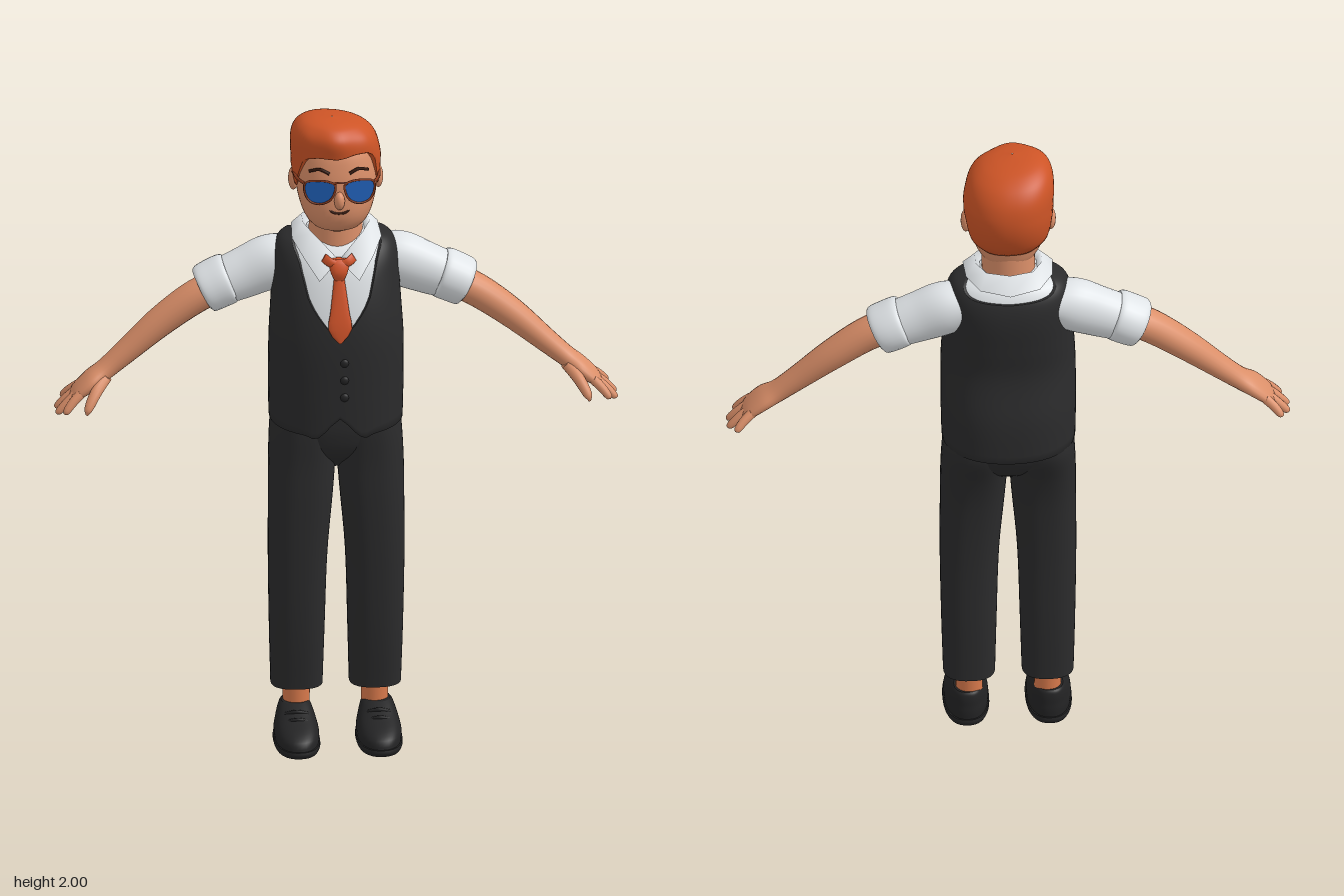
import * as THREE from 'three';

const mat = (name, color, side = THREE.FrontSide) => {
  const m = new THREE.MeshStandardMaterial({ color, side });
  m.name = name;
  return m;
};
const M = {
  skin: mat('skin', 0xdb8f69), hair: mat('copper hair', 0xcd5426), tie: mat('orange tie', 0xd2542a),
  shirt: mat('white shirt', 0xdfe3e6, THREE.DoubleSide), cloth: mat('charcoal cloth', 0x2b2b2c),
  black: mat('black leather', 0x232324), lens: mat('blue lens', 0x2060b8, THREE.DoubleSide),
  frame: mat('brown frame', 0x8c3c20), dark: mat('dark brown', 0x35190f), sock: mat('ankle', 0xd97a4c),
};

// Smooth interpolation of table rows; column 0 is the key
function sample(tab, k) {
  const last = tab.length - 1;
  let i = 0;
  while (i < last - 1 && k > tab[i + 1][0]) i++;
  const h = tab[i + 1][0] - tab[i][0];
  const u = Math.min(1, Math.max(0, (k - tab[i][0]) / h));
  const slope = (j, c) => {
    const p = tab[Math.max(j - 1, 0)], q = tab[Math.min(j + 1, last)];
    return (q[c] - p[c]) / (q[0] - p[0]);
  };
  const u2 = u * u, u3 = u2 * u;
  return tab[i].map((v, c) => (2 * u3 - 3 * u2 + 1) * v + (u3 - 2 * u2 + u) * h * slope(i, c)
    + (3 * u2 - 2 * u3) * tab[i + 1][c] + (u3 - u2) * h * slope(i + 1, c));
}

// Skin over rows of points, optionally joined round and capped
function skin(rows, closed = true, cap = true) {
  if (cap) {
    const ends = [rows[0], rows[rows.length - 1]].map((r) => {
      const c = r.reduce((s, p) => s.add(p), new THREE.Vector3()).divideScalar(r.length);
      return [r.map(() => c), r];
    });
    rows = [ends[0][0], ends[0][1], ...rows, ends[1][1], ends[1][0]];
  }
  const n = rows[0].length, idx = [];
  for (let j = 0; j < rows.length - 1; j++) {
    for (let i = 0; i < (closed ? n : n - 1); i++) {
      const a = j * n + i, b = j * n + (i + 1) % n;
      idx.push(a, b, b + n, a, b + n, a + n);
    }
  }
  const g = new THREE.BufferGeometry().setFromPoints(rows.flat());
  g.setIndex(idx);
  g.computeVertexNormals();
  return g;
}

// Upright body from rings [y, half width, front z, back z, centre x]
function body(tab, o = {}) {
  const { n = 48, m = 28, pow = 2.3, inset = 0, lip = 0, cap = true, warp } = o;
  const lo = o.lo || (() => tab[0][0]), hi = o.hi || (() => tab[tab.length - 1][0]);
  const row = (v, scale) => Array.from({ length: n }, (_, i) => {
    const a = i / n * Math.PI * 2, s = a > Math.PI ? a - Math.PI * 2 : a;
    const y = lo(s) + (hi(s) - lo(s)) * Math.sin(v * Math.PI / 2);
    const [, rx, zf, zb, cx = 0] = sample(tab, y);
    const f = (t) => Math.sign(t) * Math.abs(t) ** (2 / pow) * scale;
    const p = new THREE.Vector3(cx + (rx - inset) * f(Math.sin(a)), y,
      (zf + zb) / 2 + ((zf - zb) / 2 - inset) * f(Math.cos(a)));
    if (warp) warp(p);
    return p;
  });
  const rows = Array.from({ length: m + 1 }, (_, j) => row(j / m, 1));
  if (lip) { rows.unshift(row(0, 1 - lip)); rows.push(row(1, 1 - lip)); }
  return skin(rows, true, cap);
}

// Limb along points [x, y, z, thickness radius, depth radius], s mirrors it
function limb(pts, s = 1, n = 20, per = 6) {
  const tab = pts.map((p, i) => [i, p[0] * s, ...p.slice(1)]);
  const count = (pts.length - 1) * per, Z = new THREE.Vector3(0, 0, 1);
  const at = (k) => new THREE.Vector3(...sample(tab, k).slice(1, 4));
  const rows = [];
  for (let j = 0; j <= count; j++) {
    const k = j / per, c = at(k), r = sample(tab, k);
    const t = at(Math.min(k + 0.05, pts.length - 1)).sub(at(Math.max(k - 0.05, 0)));
    const nrm = Z.clone().cross(t).normalize();
    rows.push(Array.from({ length: n }, (_, i) => {
      const a = i / n * Math.PI * 2;
      return c.clone().addScaledVector(nrm, r[4] * Math.cos(a)).addScaledVector(Z, r[5] * Math.sin(a));
    }));
  }
  return skin(rows);
}

const V = (p) => new THREE.Vector3(...p);
const tube = (pts, r, closed = false) =>
  new THREE.TubeGeometry(new THREE.CatmullRomCurve3(pts.map(V), closed), 32, r, 6, closed);

export function createModel() {
  const root = new THREE.Group();
  const add = (name, geo, m, pos, scale) => {
    const mesh = new THREE.Mesh(geo, m);
    mesh.name = name;
    if (pos) mesh.position.set(...pos);
    if (scale) mesh.scale.set(...scale);
    root.add(mesh);
    return mesh;
  };

  // Torso: vest with V neck over the shirt
  const torso = [[1.0, .2, .148, -.2], [1.15, .203, .152, -.195], [1.3, .202, .152, -.168], [1.4, .196, .142, -.175],
    [1.5, .19, .118, -.182], [1.56, .186, .092, -.175], [1.6, .165, .06, -.155], [1.62, .12, .03, -.13], [1.63, .08, .02, -.11]];
  const neckline = [[0, 1.33], [.25, 1.395], [.45, 1.46], [.6, 1.55], [.8, 1.59], [1.1, 1.612], [1.57, 1.618],
    [2, 1.61], [2.5, 1.585], [Math.PI, 1.575]];
  const hem = [[0, 1.075], [.27, 1.012], [.5, 1.02], [1.57, 1.03], [Math.PI, 1.02]];
  const curve = (tab) => (a) => sample(tab, Math.abs(a))[1];
  add('vest', body(torso, { n: 72, m: 36, pow: 2.4, lo: curve(hem), hi: curve(neckline), lip: .06, cap: false }), M.cloth);
  add('shirt body', body(torso, { pow: 2.4, inset: .007, lo: () => 1.28 }), M.shirt);
  for (const y of [1.145, 1.2, 1.255]) add('vest button', new THREE.SphereGeometry(.013, 16, 10), M.black, [.013, y, .152], [1, 1, .6]);

  // Collar: pairs of upper and lower edge points, mirrored
  const half = [[.006, 1.575, .1, .02, 1.55, .112], [.04, 1.61, .083, .06, 1.512, .13], [.075, 1.64, .055, .105, 1.575, .09],
    [.1, 1.655, 0, .135, 1.612, .02], [.1, 1.66, -.06, .13, 1.625, -.08], [.07, 1.66, -.115, .09, 1.615, -.145],
    [0, 1.66, -.135, 0, 1.605, -.168]];
  const full = [...half, ...half.slice(0, -1).reverse().map((p) => [-p[0], p[1], p[2], -p[3], p[4], p[5]])];
  add('collar', skin([full.map((p) => V(p.slice(3))), full.map((p) => V(p.slice(0, 3))),
    full.map((p) => new THREE.Vector3(p[0] * .85, p[1] - .03, p[2] * .9))], false, false), M.shirt);

  // Tie
  add('tie blade', body([[1.32, .004, .158, .148], [1.36, .035, .157, .143], [1.42, .028, .146, .13],
    [1.52, .015, .122, .1]], { n: 20, m: 14 }), M.tie);
  add('tie knot', body([[1.51, .015, .125, .1], [1.535, .026, .132, .095], [1.565, .03, .122, .085], [1.575, .02, .112, .09]],
    { n: 20, m: 10 }), M.tie);

  // Trousers
  add('hips', body([[.875, .04, .02, -.05], [.93, .15, .085, -.125], [1, .194, .11, -.168], [1.08, .194, .115, -.165]]), M.cloth);
  for (const s of [1, -1]) {
    const shift = (tab, cx) => tab.map((r) => [...r, s * (r[4] ?? cx)].filter((_, i, a) => i < 4 || i === a.length - 1));
    add('trouser leg', body(shift([[.17, .078, .052, -.1, .118], [.35, .083, .075, -.102, .118], [.6, .089, .092, -.101, .116],
      [.8, .097, .1, -.112, .107], [.9, .1, .102, -.132, .103], [1, .099, .108, -.165, .099], [1.06, .095, .108, -.165, .096]]),
      { pow: 2.5 }), M.cloth);
    add('ankle', new THREE.CylinderGeometry(.042, .04, .16, 24), M.sock, [s * .118, .15, -.03]);

    // Shoe: sole, upper and laces
    add('shoe sole', body(shift([[0, .066, .192, -.086], [.01, .07, .2, -.092], [.022, .069, .198, -.09]], .124), { m: 6, pow: 2.4 }), M.black);
    add('shoe upper', body(shift([[.02, .066, .194, -.086], [.045, .067, .185, -.087], [.065, .062, .15, -.085],
      [.085, .055, .09, -.084], [.105, .046, .04, -.08], [.112, .04, .022, -.074]], .124), { m: 16 }), M.black);
    for (const [y, z] of [[.083, .088], [.097, .058]]) {
      add('lace', tube([[s * .09, y - .006, z - .008], [s * .124, y + .004, z], [s * .158, y - .006, z - .008]], .006), M.black);
    }

    // Sleeve with rolled cuff
    add('sleeve', limb([[.12, 1.53, -.07, .06, .07], [.19, 1.508, -.068, .082, .077], [.27, 1.475, -.064, .078, .071],
      [.36, 1.44, -.06, .068, .07]], s, 28), M.shirt);
    add('cuff', limb([[.315, 1.462, -.06, .068, .072], [.325, 1.458, -.06, .077, .081], [.36, 1.442, -.06, .077, .083],
      [.39, 1.428, -.058, .074, .08], [.398, 1.424, -.057, .064, .07]], s, 28), M.shirt);

    // Arm, hand and fingers
    add('arm', limb([[.35, 1.442, -.05, .05, .058], [.43, 1.402, -.045, .05, .055], [.53, 1.33, -.04, .045, .05],
      [.63, 1.245, -.03, .036, .042], [.69, 1.195, -.023, .031, .042], [.735, 1.163, -.014, .028, .057],
      [.775, 1.13, -.012, .021, .056], [.795, 1.112, -.012, .01, .045]], s), M.skin);
    for (const [z0, z1, x, y] of [[-.053, -.078, .822, 1.085], [-.025, -.03, .842, 1.068], [.004, .014, .842, 1.066], [.03, .05, .822, 1.078]]) {
      const mx = (x + .77) / 2, my = (y + 1.135) / 2 + .004, mz = (z0 + z1) / 2;
      add('finger', limb([[.77, 1.135, z0, .015, .015], [mx, my, mz, .014, .015], [x - .006, y + .008, z1, .011, .012],
        [x, y, z1, .003, .003]], s, 12, 4), M.skin);
    }
    add('thumb', limb([[.69, 1.18, .005, .018, .02], [.725, 1.145, .045, .018, .02], [.75, 1.105, .074, .014, .014],
      [.757, 1.085, .082, .004, .004]], s, 12, 5), M.skin);

    // Ear, brow, lens, rim and temple of the glasses
    add('ear', new THREE.SphereGeometry(1, 20, 14), M.skin, [s * .128, 1.79, -.022], [.015, .036, .026]);
    add('eyebrow', tube([[s * .03, 1.855, .122], [s * .058, 1.867, .115], [s * .088, 1.856, .094]], .005), M.dark);
    const outline = [[.014, 1.826], [.03, 1.836], [.07, 1.838], [.102, 1.83], [.106, 1.805], [.09, 1.772], [.058, 1.764], [.026, 1.782]];
    const zOf = (x) => .149 - .25 * Math.abs(x);
    const loop = outline.map(([x, y]) => [s * x, y, zOf(x)]);
    const flat = new THREE.CatmullRomCurve3(loop.map(V), true).getPoints(40).map((p) => new THREE.Vector2(p.x, p.y));
    const lens = new THREE.ShapeGeometry(new THREE.Shape(flat));
    const pos = lens.attributes.position;
    for (let i = 0; i < pos.count; i++) pos.setZ(i, zOf(pos.getX(i)));
    lens.computeVertexNormals();
    add('lens', lens, M.lens);
    add('lens rim', tube(loop, .0035, true), M.frame);
    add('glasses temple', tube([[s * .104, 1.826, .122], [s * .122, 1.824, .07], [s * .13, 1.817, -.015]], .005), M.frame);
    add('tie band', limb([[.01, 1.558, .112, .014, .008], [.03, 1.568, .113, .014, .007], [.046, 1.578, .1, .014, .006]], s, 10, 3), M.tie);
  }
  add('glasses bridge', tube([[-.024, 1.832, .143], [0, 1.835, .147], [.024, 1.832, .143]], .0035), M.frame);

  // Head and face
  add('neck', new THREE.CylinderGeometry(.078, .084, .18, 32), M.skin, [0, 1.63, -.025]);
  add('head', body([[1.645, .035, .06, -.06], [1.656, .066, .088, -.085], [1.68, .09, .113, -.1], [1.72, .108, .126, -.11],
    [1.78, .121, .123, -.125], [1.85, .12, .115, -.13], [1.92, .1, .09, -.12], [1.955, .05, .04, -.07]], { pow: 2.2 }), M.skin);
  add('nose', new THREE.SphereGeometry(1, 20, 14), M.skin, [0, 1.768, .125], [.016, .028, .02]);
  add('mouth', tube([[-.03, 1.738, .12], [-.014, 1.73, .125], [.014, 1.73, .125], [.03, 1.738, .12]], .004), M.dark);

  // Hair: shell down to the hairline, swept to one side
  const hairline = curve([[0, 1.9], [.5, 1.905], [.9, 1.882], [1.15, 1.795], [1.35, 1.788], [1.5, 1.83], [1.8, 1.825],
    [2, 1.765], [2.4, 1.725], [Math.PI, 1.72]]);
  add('hair', body([[1.7, .09, .06, -.1], [1.72, .102, .08, -.115], [1.76, .124, .1, -.148], [1.83, .134, .117, -.17],
    [1.9, .134, .124, -.165], [1.95, .123, .124, -.138], [1.98, .095, .1, -.095], [1.994, .055, .065, -.045], [2, .002, .02, .015]], {
    n: 72, m: 36, pow: 2.2, lip: .16, cap: false,
    lo: (a) => hairline(a) + (Math.abs(a) < 1 ? .015 * Math.sin(a) : 0),
    warp: (p) => {
      const k = Math.max(0, (p.y - 1.87) / .13);
      p.y -= .1 * p.x * k;
      p.x -= .014 * k;
      if (p.z > .04) p.z += .01 * k * Math.sin(p.x * 45 + 2) * (p.z - .04) / .08;
    },
  }), M.hair);
  return root;
}
